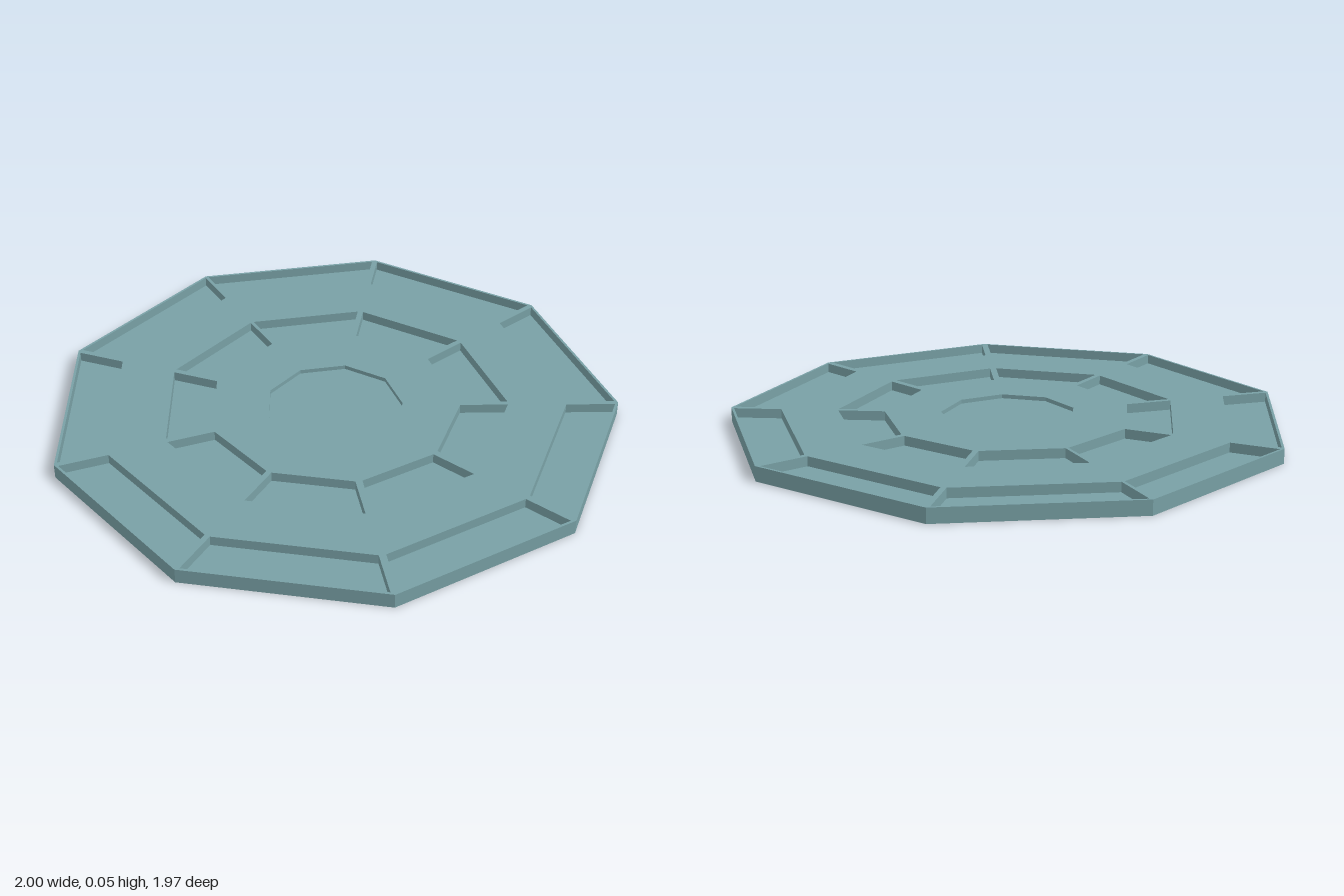
import * as THREE from 'three';

const SIDES = 9, STEP = (Math.PI * 2) / SIDES;
const TOP = 0.053, RING_FLOOR = 0.018, CENTRE_FLOOR = 0.038;
const CENTRE = new THREE.Vector2(0, -0.031); // plan coordinates: (x, -z)

// corner i of a nonagon, corner 0 pointing to the back, counter-clockwise
const corner = (i, r) => new THREE.Vector2(
  CENTRE.x - r * Math.sin(i * STEP), CENTRE.y + r * Math.cos(i * STEP));
const nonagon = (r) => Array.from({ length: SIDES }, (_, i) => corner(i, r));

// half the thickness of the rib on spoke i
const ribHalf = (i) => {
  const k = i % SIDES;
  return k === 0 ? 0.006 : k === 4 || k === 5 ? 0.012 : 0.01;
};

// one trapezoid tray between spokes i and i + 1
function trayOutline(i, inner, outer) {
  const dir = corner(i + 1, 1).sub(corner(i, 1)).normalize();
  const at = (spoke, r, side) => corner(spoke, r).addScaledVector(
    dir, side * ribHalf(spoke) / Math.cos(STEP / 2));
  return [at(i, inner, 1), at(i, outer, 1), at(i + 1, outer, -1), at(i + 1, inner, -1)].reverse();
}

// horizontal face at height y
function cap(points, y, holes = []) {
  const shape = new THREE.Shape(points);
  shape.holes = holes.map((h) => new THREE.Path(h));
  return new THREE.ShapeGeometry(shape).rotateX(-Math.PI / 2).translate(0, y, 0);
}

// vertical band along an outline; faces outward when it runs counter-clockwise
function wall(points, y0, y1) {
  const pos = [];
  points.forEach((a, i) => {
    const b = points[(i + 1) % points.length];
    const q = [[a.x, y0, -a.y], [b.x, y0, -b.y], [b.x, y1, -b.y], [a.x, y1, -a.y]];
    for (const k of [0, 1, 2, 0, 2, 3]) pos.push(...q[k]);
  });
  const g = new THREE.BufferGeometry();
  g.setAttribute('position', new THREE.Float32BufferAttribute(pos, 3));
  g.computeVertexNormals();
  return g;
}

export function createModel() {
  const group = new THREE.Group();
  const material = new THREE.MeshStandardMaterial({ color: 0x78a0a5, flatShading: true });
  const add = (parent, name, geometry) => {
    const mesh = new THREE.Mesh(geometry, material);
    mesh.name = name;
    parent.add(mesh);
  };

  // recesses: two rings of trays and the centre well
  const recesses = [];
  for (const [name, inner, outer] of [['outerTray', 0.832, 1.006], ['innerTray', 0.453, 0.623]]) {
    for (let i = 0; i < SIDES; i++) {
      recesses.push({ name, outline: trayOutline(i, inner, outer), floor: RING_FLOOR });
    }
  }
  recesses.push({ name: 'centreWell', outline: nonagon(0.245), floor: CENTRE_FLOOR });

  // plate body
  const rim = nonagon(1.0154);
  add(group, 'plateTop', cap(rim, TOP, recesses.map((r) => r.outline)));
  add(group, 'plateEdge', wall(rim, 0, TOP));
  add(group, 'plateUnderside', cap(rim, 0).rotateZ(Math.PI));

  for (const { name, outline, floor } of recesses) {
    const part = new THREE.Group();
    part.name = name;
    const ccw = THREE.ShapeUtils.isClockWise(outline) ? [...outline].reverse() : outline;
    add(part, name + 'Floor', cap(ccw, floor));
    add(part, name + 'Walls', wall([...ccw].reverse(), floor, TOP));
    group.add(part);
  }
  return group;
}
